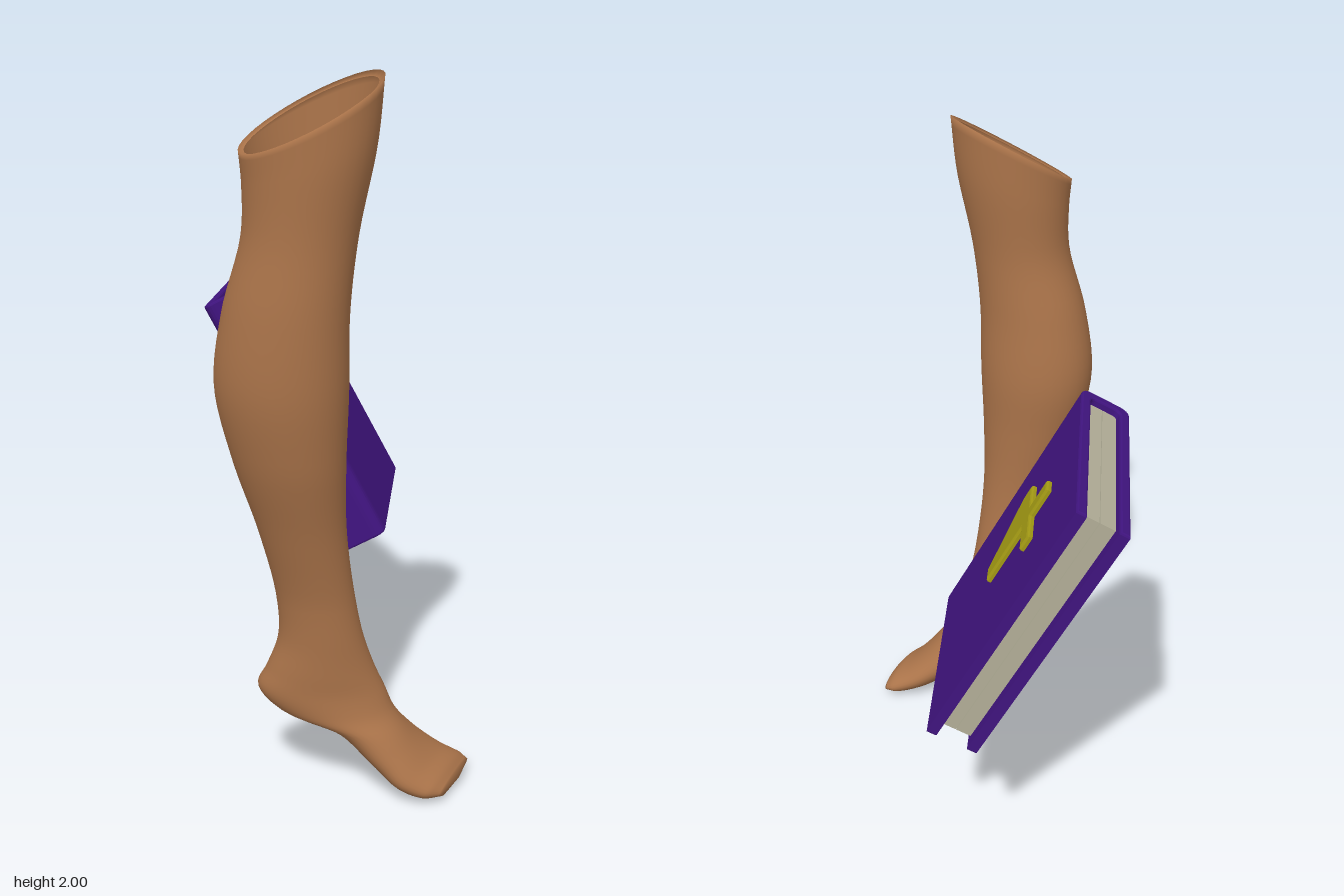
import * as THREE from 'three';

const mat = (color, side = THREE.FrontSide) => new THREE.MeshStandardMaterial({ color, side });
const SKIN = mat(0xab744a, THREE.DoubleSide);
const PURPLE = mat(0x40147f);
const GOLD = mat(0xa39a14);
const PAPER = mat(0xb3af98);

function part(name, geometry, material, x = 0, y = 0, z = 0) {
  const mesh = new THREE.Mesh(geometry, material);
  mesh.name = name;
  mesh.position.set(x, y, z);
  return mesh;
}

// Leg sections, knee to toe, in a frame turned 45 degrees so the foot points along +s:
// [front s, front y, back s, back y, sideways centre, half width, sideways tilt, skew]
const SECTIONS = [
  [0.220, 1.998, -0.142, 1.812, -0.550, 0.150, 0.21, -0.12],
  [0.204, 1.83, -0.135, 1.73, -0.550, 0.147, 0.10, -0.12],
  [0.159, 1.60, -0.138, 1.60, -0.551, 0.138, 0, -0.12],
  [0.138, 1.40, -0.192, 1.40, -0.543, 0.152, 0, -0.15],
  [0.136, 1.20, -0.217, 1.20, -0.530, 0.161, 0, -0.15],
  [0.129, 1.00, -0.175, 1.00, -0.519, 0.139, 0, -0.15],
  [0.129, 0.80, -0.113, 0.80, -0.496, 0.105, 0, -0.13],
  [0.150, 0.60, -0.068, 0.60, -0.468, 0.086, 0, -0.12],
  [0.175, 0.47, -0.063, 0.47, -0.455, 0.087, 0, -0.06],
  [0.205, 0.375, -0.097, 0.37, -0.443, 0.093, 0, 0],
  [0.235, 0.305, -0.124, 0.305, -0.434, 0.098, 0, 0],
  [0.258, 0.25, -0.070, 0.245, -0.433, 0.100, 0, 0],
  [0.295, 0.195, 0.085, 0.195, -0.433, 0.106, 0, 0.05],
  [0.335, 0.148, 0.195, 0.105, -0.434, 0.116, 0, 0.15],
  [0.378, 0.108, 0.290, 0.033, -0.436, 0.123, 0, 0.28],
  [0.420, 0.080, 0.375, 0.006, -0.434, 0.119, 0, 0.35],
  [0.442, 0.058, 0.430, 0.010, -0.429, 0.098, 0, 0.35],
];

// Skin lofted through the sections, with a thin rolled rim at the open knee
function legGeometry() {
  const rows = 90, sides = 36, r = Math.SQRT1_2;
  const curve = (...cols) => new THREE.CatmullRomCurve3(
    SECTIONS.map(q => new THREE.Vector3(...cols.map(c => q[c]))));
  const front = curve(0, 1, 6);
  const back = curve(2, 3, 7);
  const side = curve(4, 5);
  const pos = [], idx = [];
  for (let i = 0; i <= rows; i++) {
    const t = Math.max(0, i - 1) / (rows - 1);
    const f = front.getPoint(t), b = back.getPoint(t), m = side.getPoint(t);
    const tilt = f.z, skew = b.z;
    const cs = (f.x + b.x) / 2, cy = (f.y + b.y) / 2;
    const k = i === 0 ? 0.92 : 1;
    for (let j = 0; j < sides; j++) {
      const a = j / sides * Math.PI * 2;
      const p = Math.cos(a) * m.y * k, h = Math.sin(a) * k;
      const s = cs + (f.x - cs) * h + skew * p;
      const y = cy + (f.y - cy) * h + tilt * p - (i === 0 ? 0.008 : 0);
      pos.push((s + m.x + p) * r, y, (s - m.x - p) * r);
    }
  }
  for (let i = 0; i < rows; i++) {
    for (let j = 0; j < sides; j++) {
      const a = i * sides + j, b = i * sides + (j + 1) % sides;
      idx.push(a, b, a + sides, b, b + sides, a + sides);
    }
  }
  // toe cap
  const tip = pos.length / 3, last = rows * sides;
  pos.push((0.448 - 0.429) * r, 0.034, (0.448 + 0.429) * r);
  for (let j = 0; j < sides; j++) idx.push(last + j, last + (j + 1) % sides, tip);
  const g = new THREE.BufferGeometry();
  g.setAttribute('position', new THREE.Float32BufferAttribute(pos, 3));
  g.setIndex(idx);
  g.computeVertexNormals();
  return g;
}

// Bevelled plate outline extruded upwards in z
function plate(shape, depth, bevel) {
  return new THREE.ExtrudeGeometry(shape, {
    depth: depth - 2 * bevel, bevelThickness: bevel, bevelSize: bevel,
    bevelOffset: -bevel, bevelSegments: 2, curveSegments: 6,
  }).translate(0, 0, bevel);
}

// Latin cross outline centred on the crossing
function crossGeometry(up, down, arm, bar, depth) {
  const b = bar / 2;
  const shape = new THREE.Shape([
    [-b, -down], [b, -down], [b, -b], [arm, -b], [arm, b], [b, b],
    [b, up], [-b, up], [-b, b], [-arm, b], [-arm, -b],
  ].map(([x, y]) => new THREE.Vector2(x, y)));
  return plate(shape, depth, depth * 0.3);
}

// Book in its own frame: front cover faces +z at z = 0, spine on -x
function createBook() {
  const W = 0.327, H = 0.845, T = 0.157, C = 0.031, R = 0.035;
  const book = new THREE.Group();
  book.name = 'book';

  // one wrap-around cover: front board, rounded spine, back board
  const s = new THREE.Shape();
  s.moveTo(W, 0);
  s.lineTo(W, C);
  s.lineTo(-W + C + 0.02, C);
  s.quadraticCurveTo(-W + C, C, -W + C, C + 0.02);
  s.lineTo(-W + C, T - C - 0.02);
  s.quadraticCurveTo(-W + C, T - C, -W + C + 0.02, T - C);
  s.lineTo(W, T - C);
  s.lineTo(W, T);
  s.lineTo(-W + R, T);
  s.quadraticCurveTo(-W, T, -W, T - R);
  s.lineTo(-W, R);
  s.quadraticCurveTo(-W, 0, -W + R, 0);
  const cover = plate(s, H, 0.006).rotateX(-Math.PI / 2);
  book.add(part('cover', cover, PURPLE, 0, -H / 2, 0));

  // two halves of the page block with a fine seam between them
  const half = (T - 2 * C) / 2;
  for (const k of [0, 1]) {
    const pages = new THREE.BoxGeometry(2 * W - C - 0.035, H - 0.045, half - 0.002);
    book.add(part('pages', pages, PAPER, (C - 0.035) / 2, 0, -C - half * (k + 0.5)));
  }

  book.add(part('coverCross', crossGeometry(0.12, 0.232, 0.13, 0.05, 0.022), GOLD, 0, 0.148, -0.006));
  const spineCross = part('spineCross', crossGeometry(0.03, 0.055, 0.03, 0.011, 0.008), GOLD, -W + 0.004, 0.335, -T / 2);
  spineCross.rotation.y = -Math.PI / 2;
  book.add(spineCross);

  // lean the book back and turn it
  const x = new THREE.Vector3(0.707, -0.033, -0.707).normalize();
  const z = x.clone().cross(new THREE.Vector3(-0.314, 0.878, -0.361)).normalize();
  const y = z.clone().cross(x);
  book.quaternion.setFromRotationMatrix(new THREE.Matrix4().makeBasis(x, y, z));
  book.position.set(0.197, 0.986, -0.186);
  return book;
}

export function createModel() {
  const model = new THREE.Group();
  model.name = 'legAndBook';
  model.add(part('leg', legGeometry(), SKIN), createBook());
  return model;
}
